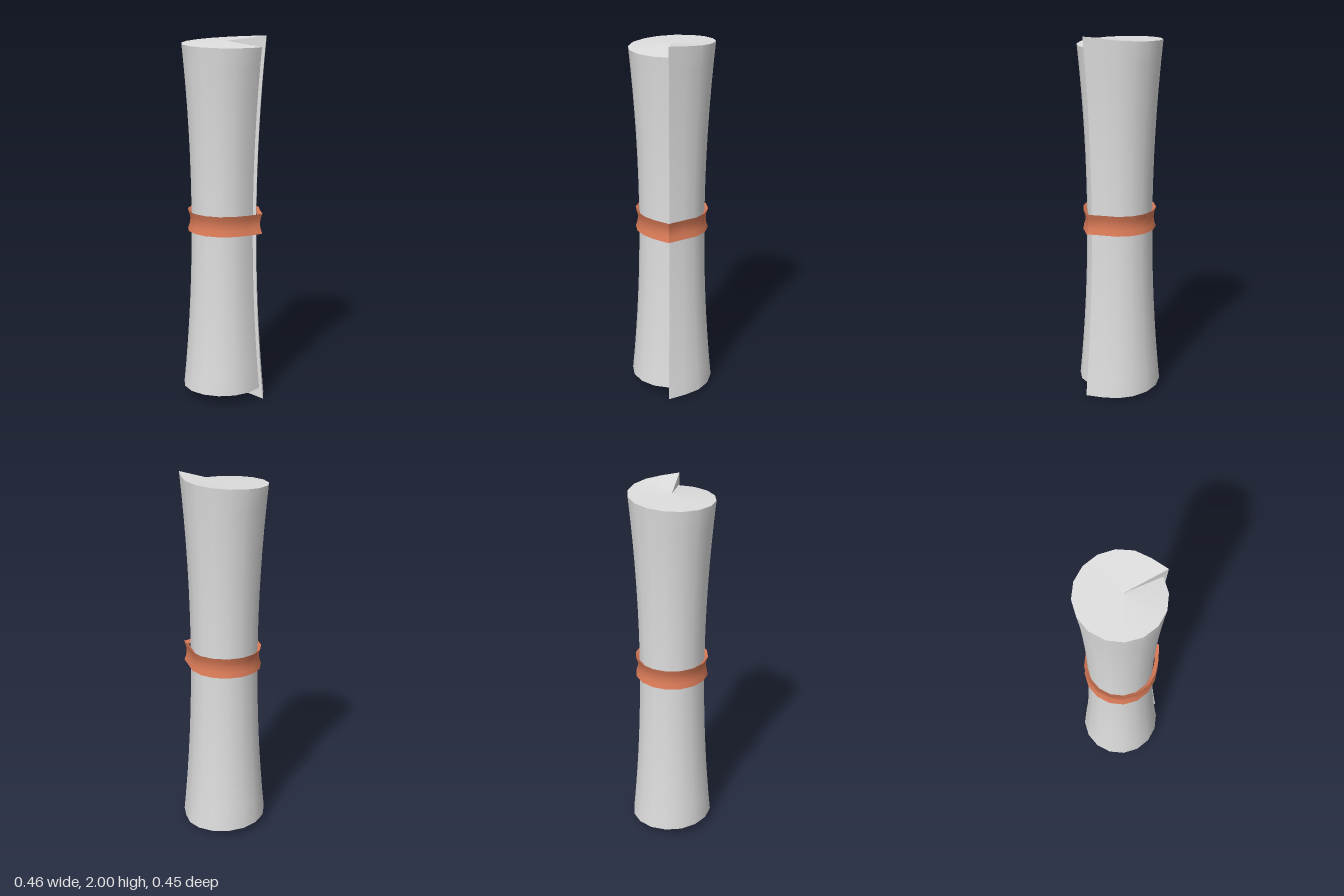
import * as THREE from 'three';

const SIDES = 16;
const paper = new THREE.MeshStandardMaterial({ name: 'paper grey', color: 0xdedede });
const ribbon = new THREE.MeshStandardMaterial({ name: 'ribbon orange', color: 0xd97a57 });

// Smooth surface through rows of points; columns run anticlockwise seen from above
function grid(rows) {
  const n = rows[0].length;
  const index = [];
  for (let r = 0; r < rows.length - 1; r++) {
    for (let c = 0; c < n - 1; c++) {
      const a = r * n + c, d = a + n;
      index.push(a, a + 1, d + 1, a, d + 1, d);
    }
  }
  const g = new THREE.BufferGeometry();
  g.setAttribute('position', new THREE.Float32BufferAttribute(rows.flat(2), 3));
  g.setIndex(index);
  g.computeVertexNormals();
  return g;
}

// Rolled outline: starts at the loose flap tip and ends tucked beneath it
function outline(i) {
  if (i === 0) return [0.229, -0.095];
  const a = (i - 1) * Math.PI / 8 + Math.PI / 4;
  return [-0.004 + 0.226 * Math.cos(a), -0.226 * Math.sin(a)];
}

// The sheet's ends wind inward slightly like a helix
const inset = (i) => 0.06 * Math.sin(i * Math.PI / (2 * SIDES));
const columns = Array.from({ length: SIDES + 1 }, (_, i) => i);

function sheetPoint(i, v) {
  const [x, z] = outline(i);
  const s = 0.79 + 0.21 * (2 * v - 1) ** 2;
  const low = inset(i);
  return [x * s, low + (2 - 2 * low) * v, z * s];
}

export function createModel() {
  const model = new THREE.Group();
  model.name = 'scroll';
  const add = (name, rows, material) => {
    const mesh = new THREE.Mesh(grid(rows), material);
    mesh.name = name;
    model.add(mesh);
  };

  // Waisted paper roll and the thin edge of its flap
  const levels = Array.from({ length: 17 }, (_, k) => k / 16);
  add('rolledSheet', levels.map((v) => columns.map((i) => sheetPoint(i, v))), paper);
  add('flapEdge', levels.map((v) => [sheetPoint(SIDES, v), sheetPoint(0, v)]), paper);

  // Spiral end caps with a stepped notch
  const top = [0.01, 1.965, -0.008], bottom = [0.01, 0.035, -0.008];
  const rim = (v) => columns.map((i) => sheetPoint(i, v));
  add('topEnd', [rim(1), columns.map(() => top)], paper);
  add('bottomEnd', [columns.map(() => bottom), rim(0)], paper);
  add('topNotch', [[top, sheetPoint(SIDES, 1)], [top, sheetPoint(0, 1)]], paper);
  add('bottomNotch', [[bottom, sheetPoint(0, 0)], [bottom, sheetPoint(SIDES, 0)]], paper);

  // Concave band that bulges over the flap
  const bandRow = (scale, y) => columns.map((i) => {
    const k = i % SIDES;
    const [x, z] = outline(k);
    const s = scale * (k === 0 ? 1.08 : k === 15 ? 1.05 : 1);
    return [x * s, y, z * s];
  });
  add('band', [[0.875, 0.95], [0.835, 0.978], [0.82, 1.005], [0.835, 1.032], [0.875, 1.06]]
    .map(([s, y]) => bandRow(s, y)), ribbon);
  add('bandTopRim', [bandRow(0.875, 1.06), bandRow(0.78, 1.045)], ribbon);
  add('bandBottomRim', [bandRow(0.78, 0.965), bandRow(0.875, 0.95)], ribbon);

  return model;
}
